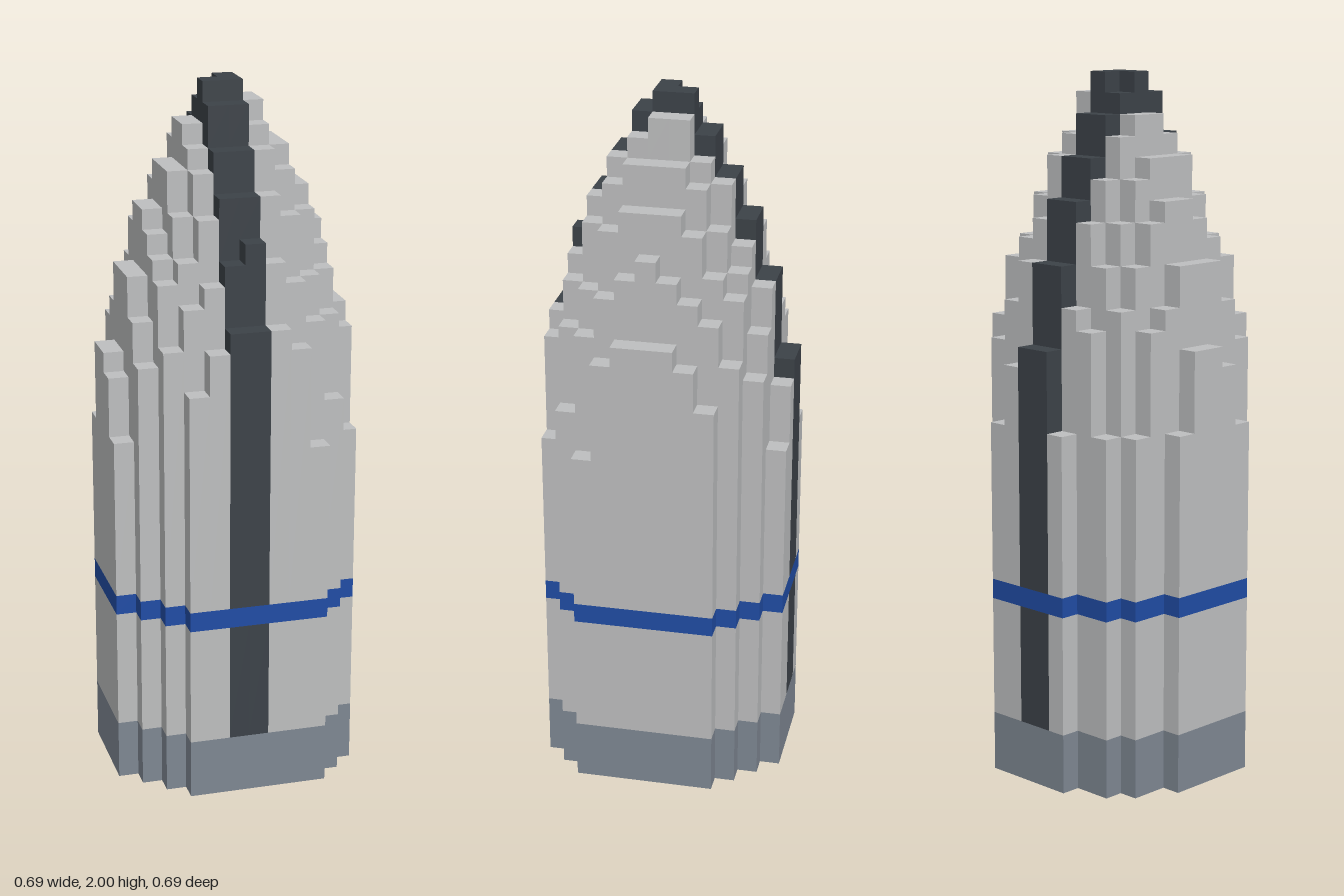
import * as THREE from 'three';

const U = 2 / 35; // edge of one block
// Largest squared radius (in blocks) that reaches height 35, 34, ... 18
const LIMITS = [1, 2.2, 4, 7, 9.8, 12, 15.5, 18, 20, 24.9, 26, 29, 32.5, 34.6, 35.2, 35.8, 36.8, 39.5];

// Height in blocks of the column at cell (x, z); 0 outside the footprint
function columnHeight(x, z) {
  if (x > 5 || z > 5) return 0;
  const r2 = (x + 0.2) ** 2 + (z + 0.2) ** 2;
  const step = LIMITS.findIndex((limit) => r2 <= limit);
  return step < 0 ? 0 : 35 - step;
}

export function createModel() {
  const parts = {
    body: { color: 0xbdbebf, name: 'light grey', points: [] },
    stripe: { color: 0x3c4248, name: 'charcoal', points: [] },
    band: { color: 0x204ca4, name: 'blue', points: [] },
    base: { color: 0x7e8792, name: 'slate', points: [] },
  };
  const quad = (part, a, b, c, d) => {
    for (const p of [a, b, c, a, c, d]) parts[part].points.push(...p.map((v) => v * U));
  };

  for (let x = -6; x < 6; x++) {
    for (let z = -6; z < 6; z++) {
      const h = columnHeight(x, z);
      if (!h) continue;
      const skin = x === -1 || x === 0 ? 'stripe' : 'body';

      // Top step and underside of the column
      quad(skin, [x, h, z + 1], [x + 1, h, z + 1], [x + 1, h, z], [x, h, z]);
      quad('base', [x, 0, z], [x + 1, 0, z], [x + 1, 0, z + 1], [x, 0, z + 1]);

      // Exposed walls, divided into base, hull and painted band
      const layers = [['base', 0, 3], [skin, 3, 9], ['band', 9, 10], [skin, 10, h]];
      for (const [dx, dz] of [[1, 0], [-1, 0], [0, 1], [0, -1]]) {
        const floor = columnHeight(x + dx, z + dz);
        const cx = x + 0.5 + dx / 2, cz = z + 0.5 + dz / 2;
        const tx = dz / 2, tz = -dx / 2;
        for (const [part, from, to] of layers) {
          const low = Math.max(from, floor);
          if (low >= to) continue;
          quad(part, [cx - tx, low, cz - tz], [cx + tx, low, cz + tz],
            [cx + tx, to, cz + tz], [cx - tx, to, cz - tz]);
        }
      }
    }
  }

  const group = new THREE.Group();
  group.name = 'steppedTower';
  for (const [part, { color, name, points }] of Object.entries(parts)) {
    const geometry = new THREE.BufferGeometry();
    geometry.setAttribute('position', new THREE.Float32BufferAttribute(points, 3));
    geometry.computeVertexNormals();
    const material = new THREE.MeshStandardMaterial({ color });
    material.name = name;
    const mesh = new THREE.Mesh(geometry, material);
    mesh.name = part;
    group.add(mesh);
  }
  return group;
}
